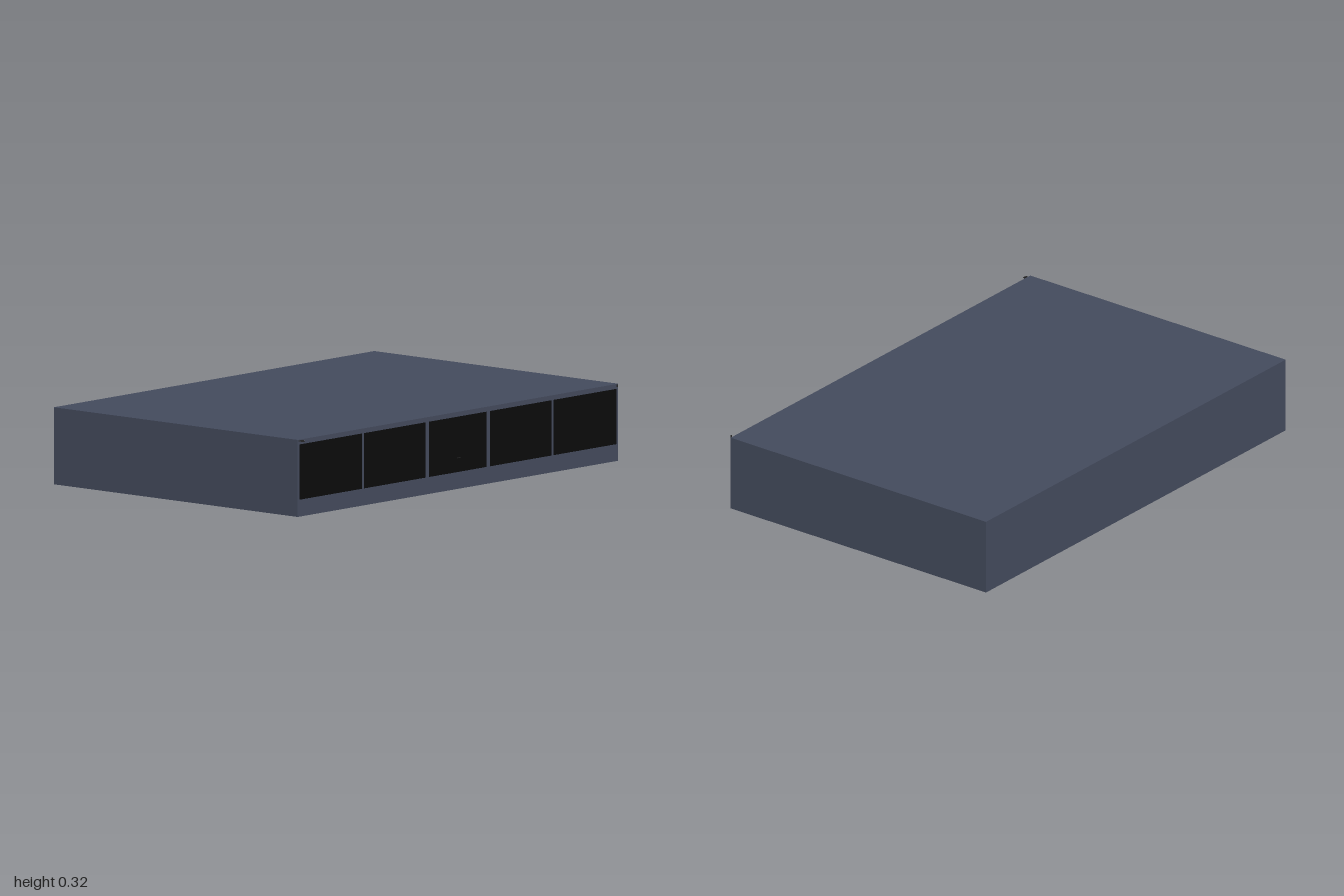
import * as THREE from 'three';

const wallMat = new THREE.MeshStandardMaterial({ color: 0x434a5c });
const glassMat = new THREE.MeshStandardMaterial({ color: 0x0b0b0b });
const metalMat = new THREE.MeshStandardMaterial({ color: 0x222222 });

const HEIGHT = 0.32, BACK = -0.675, FRONT = 0.655, FRAME = 0.004;
const SILL = 0.07, HEAD = 0.30;
// left and right edges of the five front bays
const BAYS = [[-0.99, -0.597], [-0.586, -0.2], [-0.18, 0.18], [0.2, 0.586], [0.597, 0.99]];

function addBox(parent, name, mat, [w, h, d], [x, y, z]) {
  const mesh = new THREE.Mesh(new THREE.BoxGeometry(w, h, d), mat);
  mesh.name = name;
  mesh.position.set(x, y, z);
  parent.add(mesh);
  return mesh;
}

function rectangle(PathType, x0, x1, y0, y1) {
  return new PathType([[x0, y0], [x1, y0], [x1, y1], [x0, y1]].map(([x, y]) => new THREE.Vector2(x, y)));
}

// Small camera on an arm, angled inwards from a front corner
function cornerCamera(side) {
  const camera = new THREE.Group();
  camera.name = side > 0 ? 'leftCornerCamera' : 'rightCornerCamera';
  addBox(camera, 'cameraArm', metalMat, [0.003, 0.003, 0.012], [0, 0, 0.004]);
  addBox(camera, 'cameraBody', metalMat, [0.006, 0.007, 0.014], [0, 0, 0.015]);
  const lens = new THREE.Mesh(new THREE.CylinderGeometry(0.002, 0.002, 0.004, 12), metalMat);
  lens.name = 'cameraLens';
  lens.rotation.x = Math.PI / 2;
  lens.position.z = 0.023;
  camera.add(lens);
  camera.position.set(side * 0.993, 0.315, FRONT);
  camera.rotation.y = -side * Math.PI / 4;
  return camera;
}

export function createModel() {
  const building = new THREE.Group();
  building.name = 'building';

  // Main block
  const depth = FRONT - FRAME - BACK;
  addBox(building, 'walls', wallMat, [2, HEIGHT, depth], [0, HEIGHT / 2, BACK + depth / 2]);

  // Front wall with an opening for each bay
  const outline = rectangle(THREE.Shape, -1, 1, 0, HEIGHT);
  outline.holes = BAYS.map(([x0, x1]) => rectangle(THREE.Path, x0, x1, SILL, HEAD));
  const frame = new THREE.Mesh(
    new THREE.ExtrudeGeometry(outline, { depth: FRAME, bevelEnabled: false }), wallMat);
  frame.name = 'frontFrame';
  frame.position.z = FRONT - FRAME;
  building.add(frame);

  // Dark glazing just behind the frame face
  BAYS.forEach(([x0, x1], i) => {
    addBox(building, i === 2 ? 'entranceGlass' : 'windowGlass', glassMat,
      [x1 - x0, HEAD - SILL, 0.003], [(x0 + x1) / 2, (SILL + HEAD) / 2, FRONT - 0.0025]);
  });

  // Double door leaves and handles in the middle bay
  for (const side of [-1, 1]) {
    const door = new THREE.Group();
    door.name = side > 0 ? 'leftDoor' : 'rightDoor';
    addBox(door, 'doorLeaf', glassMat, [0.074, HEAD - SILL, 0.002], [side * 0.0378, (SILL + HEAD) / 2, FRONT - 0.001]);
    addBox(door, 'handleBar', metalMat, [0.008, 0.003, 0.002], [side * 0.0065, 0.13, FRONT + 0.004]);
    addBox(door, 'handlePost', metalMat, [0.002, 0.003, 0.005], [side * 0.0035, 0.13, FRONT + 0.001]);
    building.add(door, cornerCamera(side));
  }

  return building;
}
